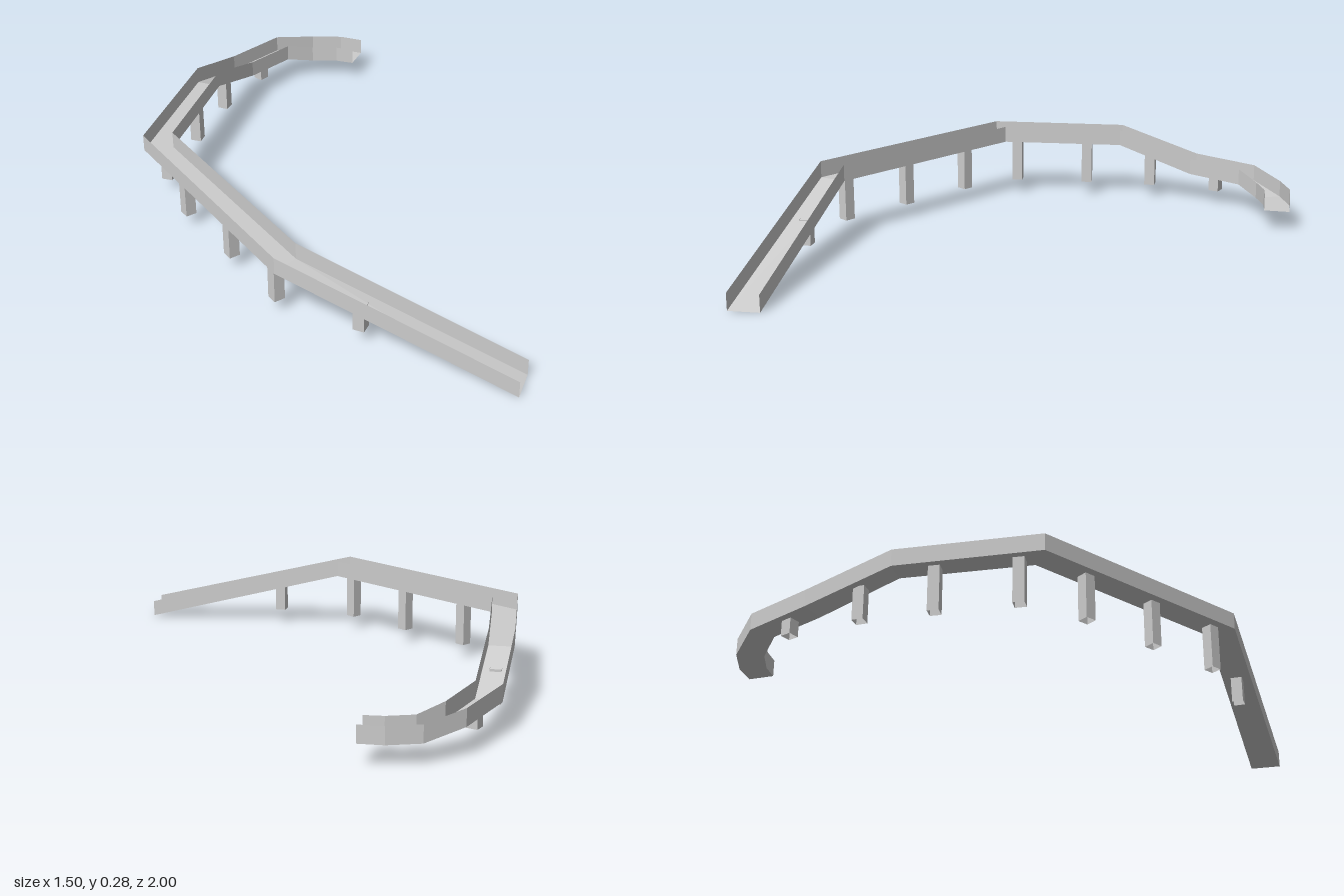
import * as THREE from 'three';

// Stations along the channel: outer x, outer z, inner x, inner z, floor height
const STATIONS = [
  [0.73, 1.0, 0.747, 0.887, 0.003],
  [-0.105, 0.8, -0.053, 0.706, 0.225],
  [-0.75, 0.155, -0.65, 0.115, 0.225],
  [-0.69, -0.37, -0.6, -0.355, 0.225],
  [-0.625, -0.675, -0.537, -0.64, 0.12],
  [-0.493, -0.895, -0.43, -0.825, 0.107],
  [-0.355, -0.98, -0.335, -0.883, 0.08],
  [-0.235, -1.0, -0.235, -0.9, 0.08],
  [-0.145, -0.987, -0.165, -0.893, 0.08],
];
const WALL = 0.063;
const GROUND = 0.056;

// Pillars: station segment they stand under, and distance along it (0 to 1)
const PILLARS = [
  [0, 0.675], [1, 0.07], [1, 0.41], [1, 0.765],
  [2, 0.14], [2, 0.72], [3, 0.41], [4, 0.43],
];

// Strip of flat quads joining two rows of points
function ribbon(rowA, rowB) {
  const pos = [];
  for (let i = 0; i < rowA.length - 1; i++) {
    const a = rowA[i], b = rowB[i], c = rowB[i + 1], d = rowA[i + 1];
    for (const p of [a, b, c, a, c, d]) pos.push(p.x, p.y, p.z);
  }
  const geo = new THREE.BufferGeometry();
  geo.setAttribute('position', new THREE.Float32BufferAttribute(pos, 3));
  geo.computeVertexNormals();
  return geo;
}

export function createModel() {
  const group = new THREE.Group();
  group.name = 'raisedChannel';
  const grey = new THREE.MeshStandardMaterial({ color: 0xcccccc, side: THREE.DoubleSide, flatShading: true });
  grey.name = 'light grey';

  const add = (geo, name) => {
    const mesh = new THREE.Mesh(geo, grey);
    mesh.name = name;
    group.add(mesh);
    return mesh;
  };

  // Open U-shaped channel: floor and two thin side walls
  const outer = STATIONS.map(([x, z, , , y]) => new THREE.Vector3(x, y, z));
  const inner = STATIONS.map(([, , x, z, y]) => new THREE.Vector3(x, y, z));
  const raise = (row) => row.map((p) => p.clone().setY(p.y + WALL));
  add(ribbon(outer, inner), 'channelFloor');
  add(ribbon(raise(outer), outer), 'outerWall');
  add(ribbon(inner, raise(inner)), 'innerWall');

  // Square hollow pillars, turned to follow the channel
  const centre = outer.map((p, i) => p.clone().lerp(inner[i], 0.5));
  PILLARS.forEach(([seg, t], i) => {
    const a = centre[seg], b = centre[seg + 1];
    const top = a.clone().lerp(b, t);
    const height = top.y - GROUND;
    const tube = new THREE.CylinderGeometry(0.029, 0.029, height, 4, 1, true).rotateY(Math.PI / 4);
    const pillar = add(tube, 'pillar' + (i + 1));
    pillar.position.set(top.x, GROUND + height / 2, top.z);
    pillar.rotation.y = Math.atan2(b.x - a.x, b.z - a.z);
  });

  return group;
}
